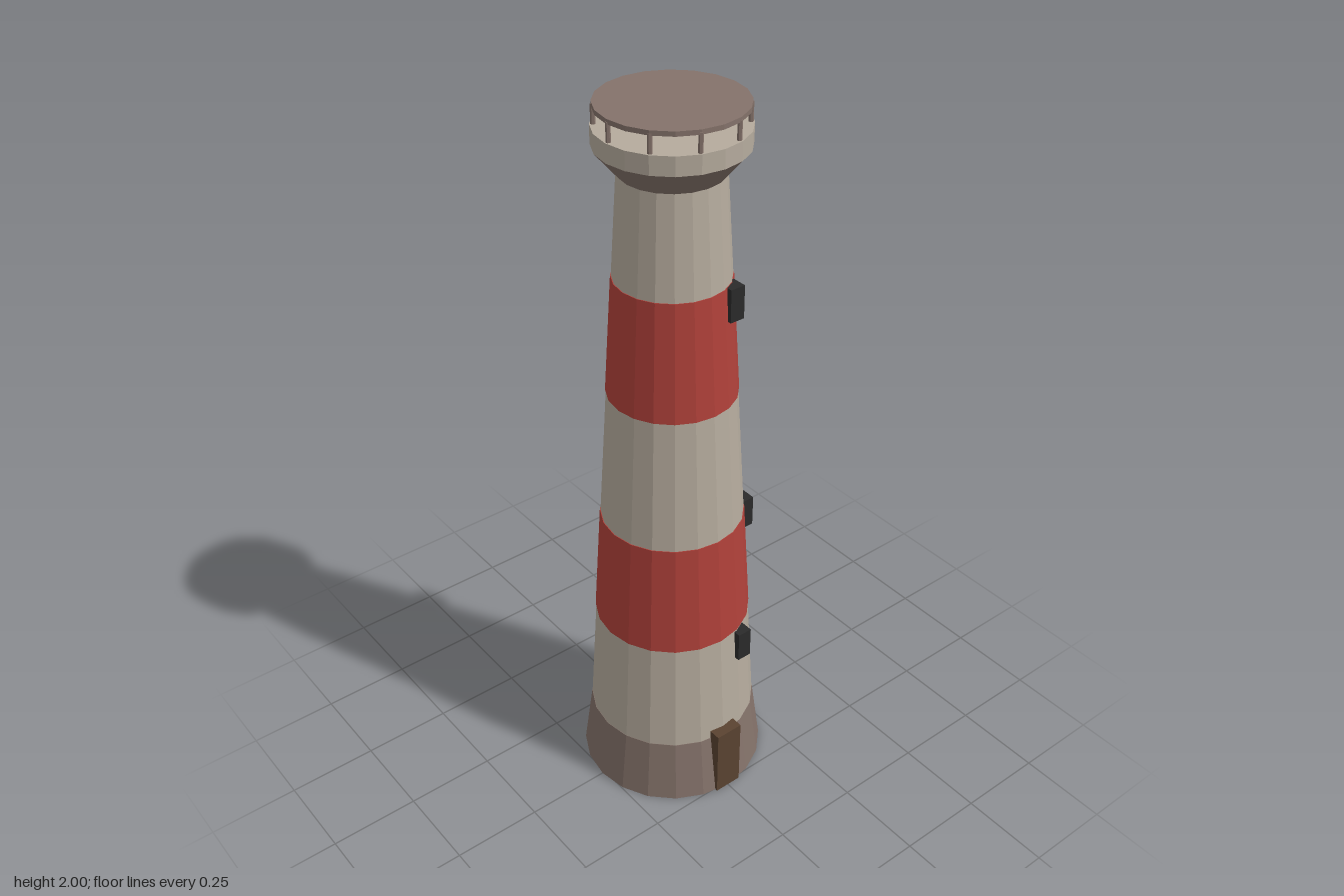
import * as THREE from 'three';

const SIDES = 20;

export function createModel() {
  const model = new THREE.Group();
  model.name = 'lighthouse';

  const paint = (name, color, flat = true) => {
    const m = new THREE.MeshStandardMaterial({ color, flatShading: flat });
    m.name = name;
    return m;
  };
  const plaster = paint('pale plaster', 0xb5ab9d);
  const red = paint('red band', 0xb0413a);
  const stone = paint('brown stone', 0x84726a);
  const wood = paint('door wood', 0x5a4331);
  const dark = paint('dark window', 0x2a2a2a);

  const add = (name, geometry, material, x = 0, y = 0, z = 0) => {
    const mesh = new THREE.Mesh(geometry, material);
    mesh.name = name;
    mesh.position.set(x, y, z);
    model.add(mesh);
    return mesh;
  };
  // Faceted ring section between two heights
  const section = (name, y0, y1, r0, r1, material) =>
    add(name, new THREE.CylinderGeometry(r1, r0, y1 - y0, SIDES), material, 0, (y0 + y1) / 2, 0);

  // Flared stone foot
  section('base', 0, 0.19, 0.26, 0.235, stone);

  // Tapering tower in alternating bands
  const heights = [0.19, 0.525, 0.855, 1.235, 1.56, 1.83];
  const radius = (y) => THREE.MathUtils.mapLinear(y, 0.19, 1.83, 0.234, 0.131);
  for (let i = 0; i < 5; i++) {
    const isRed = i % 2 === 1;
    const extra = isRed ? 0.002 : 0;
    section(isRed ? 'redBand' : 'paleBand', heights[i], heights[i + 1],
      radius(heights[i]) + extra, radius(heights[i + 1]) + extra, isRed ? red : plaster);
  }

  // Gallery: flared support and drum
  section('gallerySupport', 1.83, 1.897, 0.131, 0.188, stone);
  section('galleryDrum', 1.897, 1.945, 0.188, 0.188, plaster);

  // Posts carrying the flat cap
  const postGeometry = new THREE.CylinderGeometry(0.006, 0.006, 0.05, 6);
  for (let i = 0; i < 10; i++) {
    const a = ((i + 0.5) / 10) * Math.PI * 2;
    add('post', postGeometry, stone, Math.sin(a) * 0.179, 1.968, Math.cos(a) * 0.179);
  }
  section('cap', 1.988, 2, 0.183, 0.183, stone);

  // Door at the front
  add('door', new THREE.BoxGeometry(0.082, 0.215, 0.06), wood, 0, 0.1075, 0.231);

  // Windows climbing round the tower
  const windowGeometry = new THREE.BoxGeometry(0.042, 0.09, 0.042);
  const windows = [
    [0.078, 0.474, 0.203],
    [0.182, 0.807, 0.077],
    [0.153, 1.185, -0.083],
    [0.08, 1.515, 0.131],
  ];
  for (const [x, y, z] of windows) add('window', windowGeometry, dark, x, y, z);

  return model;
}
